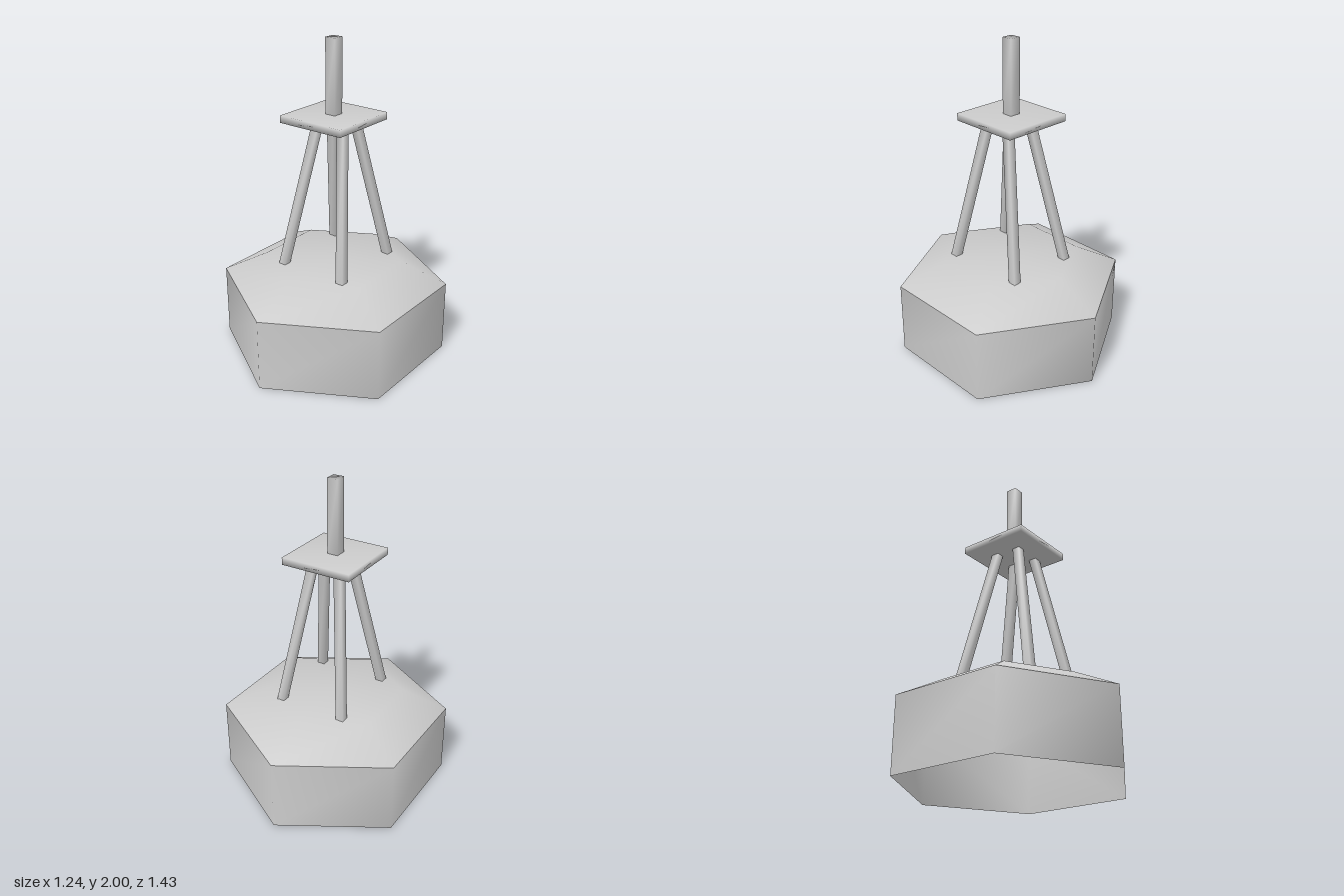
import * as THREE from 'three';
import { mergeVertices, mergeGeometries } from 'three/addons/utils/BufferGeometryUtils.js';

// Weld shared corners so shading runs smoothly over the edges
function smooth(geometry) {
  geometry.deleteAttribute('normal');
  geometry.deleteAttribute('uv');
  const welded = mergeVertices(geometry, 1e-4);
  welded.computeVertexNormals();
  return welded;
}

// Square bar whose ends stay level while its axis leans from bottom to top
function leaningBar(bottom, top, width) {
  const geometry = new THREE.BoxGeometry(width, 1, width);
  const p = geometry.attributes.position;
  for (let i = 0; i < p.count; i++) {
    const c = bottom.clone().lerp(top, p.getY(i) + 0.5);
    p.setXYZ(i, p.getX(i) + c.x, c.y, p.getZ(i) + c.z);
  }
  return smooth(geometry);
}

export function createModel() {
  const group = new THREE.Group();
  const material = new THREE.MeshStandardMaterial({ color: 0xcccccc, side: THREE.DoubleSide });
  const add = (name, geometry, y = 0) => {
    const mesh = new THREE.Mesh(geometry, material);
    mesh.name = name;
    mesh.position.y = y;
    group.add(mesh);
  };

  // Hollow six-sided float, open underneath
  const radius = 0.715, deckRadius = 0.43, wallTop = 0.46, deckY = 0.6;
  add('floatWall', smooth(new THREE.CylinderGeometry(radius, radius, wallTop, 6, 1, true)), wallTop / 2);

  // Sloped shoulder and flat deck
  const shoulder = new THREE.CylinderGeometry(deckRadius, radius, deckY - wallTop, 6, 1, true);
  shoulder.translate(0, (deckY + wallTop) / 2, 0);
  const deck = new THREE.CircleGeometry(deckRadius, 6, Math.PI / 2);
  deck.rotateX(-Math.PI / 2).translate(0, deckY, 0);
  add('floatDeck', smooth(mergeGeometries([shoulder, deck])));

  // Four leaning legs, running through the deck: [x, z] at deck height, [x, z] under the platform
  const legs = {
    backRightLeg: [[-0.205, -0.265], [-0.075, -0.08]],
    backLeftLeg: [[0.225, -0.265], [0.1, -0.08]],
    frontLeftLeg: [[0.25, 0.24], [0.12, 0.07]],
    frontRightLeg: [[-0.19, 0.255], [-0.06, 0.075]],
  };
  const legFoot = 0.38, platformY = 1.5;
  for (const [name, [low, high]] of Object.entries(legs)) {
    const atDeck = new THREE.Vector3(low[0], deckY, low[1]);
    const top = new THREE.Vector3(high[0], platformY, high[1]);
    const bottom = top.clone().lerp(atDeck, (platformY - legFoot) / (platformY - deckY));
    add(name, leaningBar(bottom, top, 0.05));
  }

  // Square platform and mast
  add('platform', smooth(new THREE.BoxGeometry(0.45, 0.045, 0.45)), platformY + 0.0225);
  add('mast', smooth(new THREE.BoxGeometry(0.07, 0.46, 0.07)), 1.77);

  return group;
}
